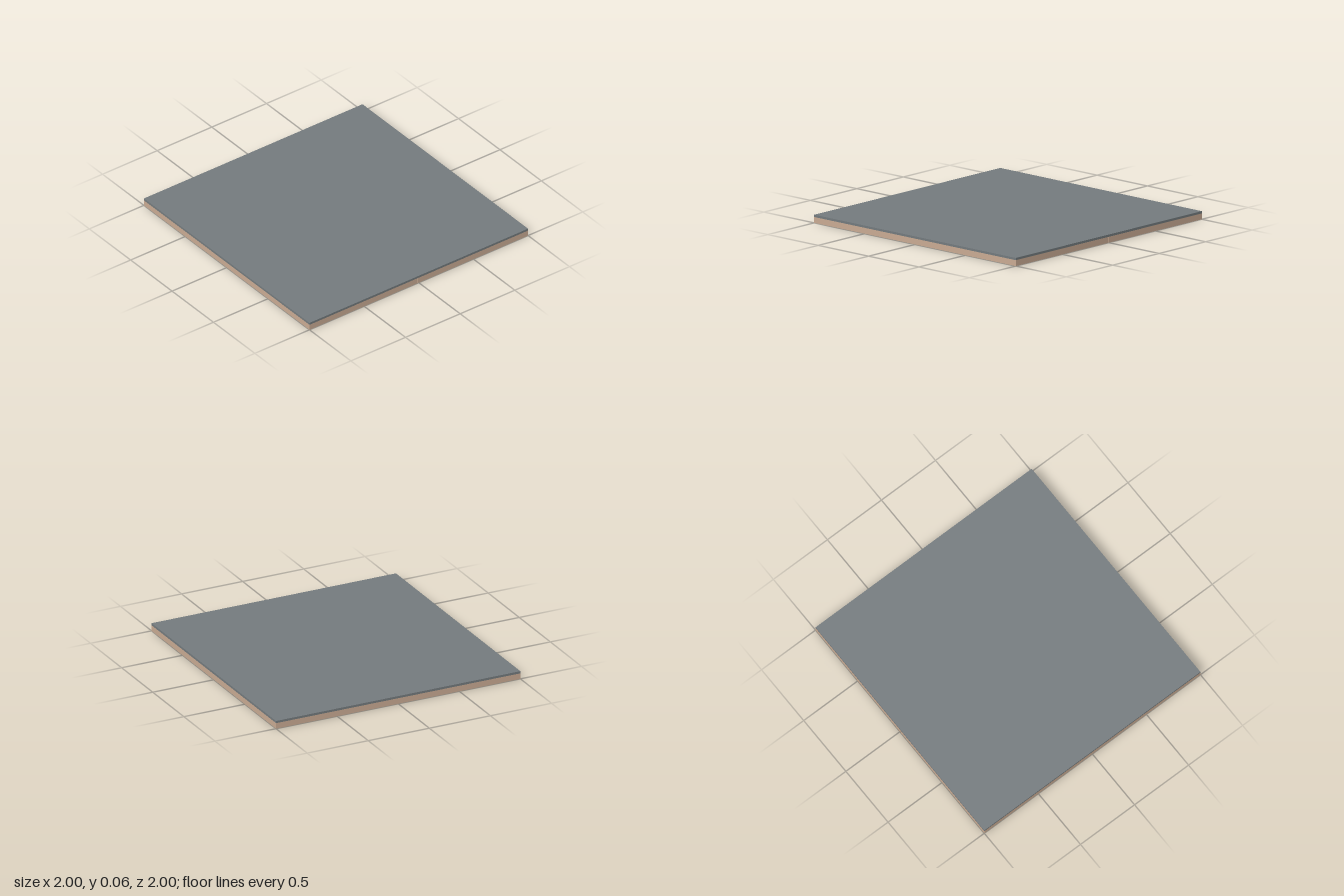
import * as THREE from 'three';

const W = 0.02;      // timber width
const H = 0.044;     // timber height
const TOP = 0.061;   // overall height
const GAP = 0.002;   // butt joint between spliced timbers

export function createModel() {
  const group = new THREE.Group();
  const wood = new THREE.MeshStandardMaterial({ color: 0xc8aa92 });
  const sheet = new THREE.MeshStandardMaterial({ color: 0x737a7d });

  // box given by its extents
  const box = (name, x0, x1, y0, y1, z0, z1, material) => {
    const mesh = new THREE.Mesh(new THREE.BoxGeometry(x1 - x0, y1 - y0, z1 - z0), material);
    mesh.position.set((x0 + x1) / 2, (y0 + y1) / 2, (z0 + z1) / 2);
    mesh.name = name;
    group.add(mesh);
  };

  // deck sheet
  box('deck', -1, 1, H, TOP, -1, 1, sheet);

  // front and back rim timbers, each spliced near the middle
  for (const [name, z] of [['frontRim', 1 - W], ['backRim', -1]]) {
    box(name + 'Right', -1, 0.005 - GAP / 2, 0, H, z, z + W, wood);
    box(name + 'Left', 0.005 + GAP / 2, 1, 0, H, z, z + W, wood);
  }

  // timber running front to back between the rims, optionally spliced
  const joist = (name, x, spliced) => {
    const end = 1 - W;
    if (!spliced) return box(name, x, x + W, 0, H, -end, end, wood);
    box(name + 'Back', x, x + W, 0, H, -end, 0.01 - GAP / 2, wood);
    box(name + 'Front', x, x + W, 0, H, 0.01 + GAP / 2, end, wood);
  };

  // evenly spaced joists from the right edge, then the closing left rim
  for (let i = 0; i < 7; i++) joist('joist' + (i + 1), -1 + i * 0.319, i === 0 || i === 2);
  joist('leftRim', 1 - W, true);

  return group;
}
